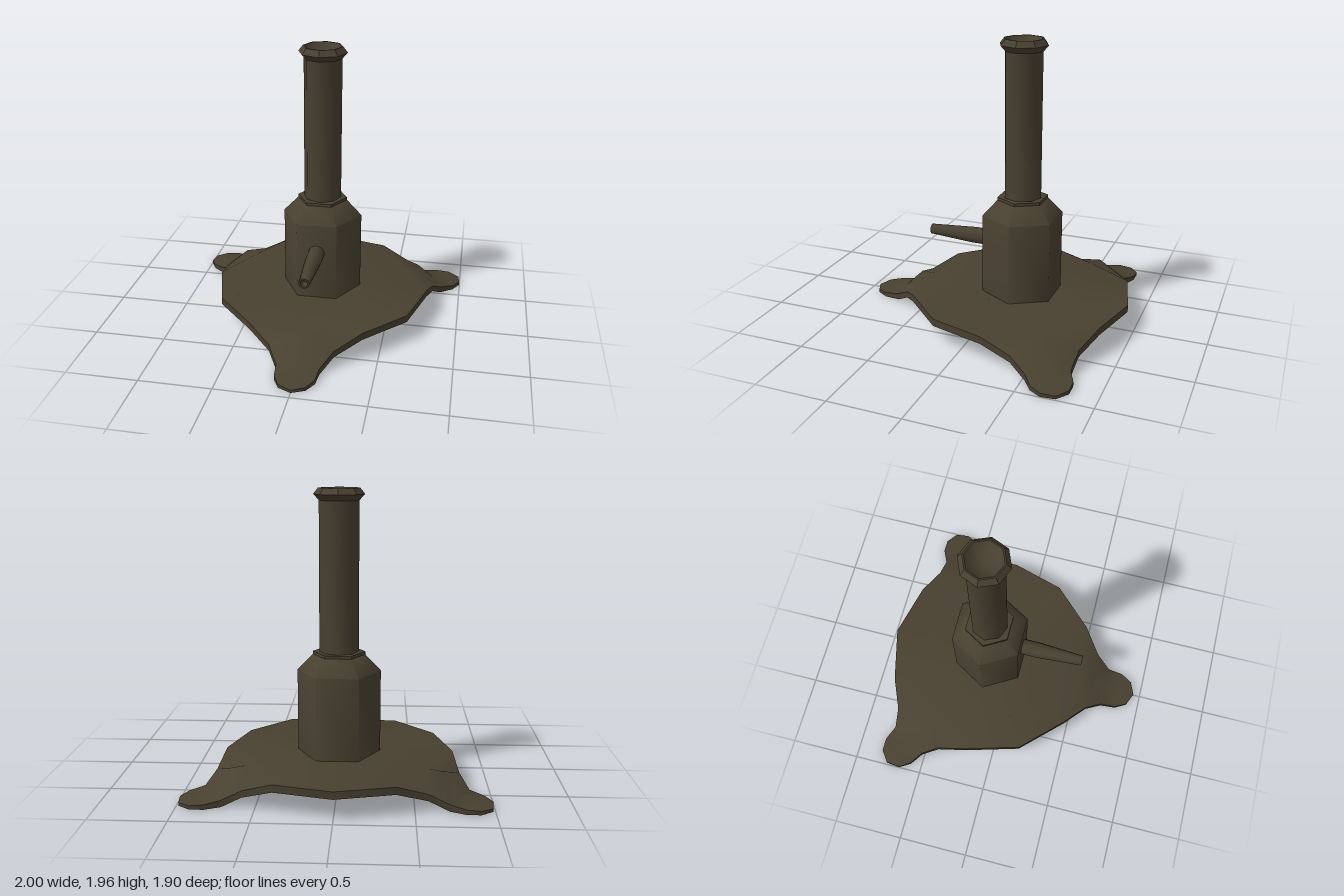
import * as THREE from 'three';
import { toCreasedNormals } from 'three/addons/utils/BufferGeometryUtils.js';

const AXIS_Z = -0.19; // the burner stands behind the centre of the front foot

// One third of the base: rows run from the hub out to the tip of the foot.
// rim x, rim z, rim top, rim bottom, spine z top, spine y top, spine z bottom, spine y bottom
const ROWS = [
  [0.6625, 0.3825, 0.19, 0.14, 0, 0.19, 0, 0.14],
  [0.39, 0.665, 0.19, 0.14, 0.68, 0.19, 0.67, 0.14],
  [0.22, 0.80, 0.115, 0.07, 0.78, 0.19, 0.79, 0.07],
  [0.145, 0.91, 0.045, 0, 0.92, 0.055, 0.89, 0],
  [0.135, 1.02, 0.032, 0, 1.03, 0.04, 1.02, 0],
  [0.09, 1.10, 0.025, 0, 1.10, 0.03, 1.10, 0],
  [0, 1.14, 0.02, 0, 1.14, 0.02, 1.14, 0],
];

function baseGeometry() {
  const pos = [];
  for (let k = 0; k < 3; k++) {
    const c = Math.cos(k * Math.PI * 2 / 3), s = Math.sin(k * Math.PI * 2 / 3);
    const put = ([x, y, z]) => pos.push(x * c + z * s, y, z * c - x * s);
    for (const side of [-1, 1]) {
      const quad = (p, q, r, t) => {
        const order = side < 0 ? [p, q, r, p, r, t] : [p, r, q, p, t, r];
        order.forEach(put);
      };
      const pts = ROWS.map(([x, z, yt, yb, ct, cyt, cb, cyb]) => ({
        top: [side * x, yt, z], bot: [side * x, yb, z],
        midTop: [0, cyt, ct], midBot: [0, cyb, cb],
      }));
      for (let i = 0; i < pts.length - 1; i++) {
        const a = pts[i], b = pts[i + 1];
        quad(a.midTop, a.top, b.top, b.midTop); // upper skin
        quad(a.midBot, b.midBot, b.bot, a.bot); // underside
        quad(a.top, a.bot, b.bot, b.top);       // edge wall
      }
    }
  }
  const g = new THREE.BufferGeometry();
  g.setAttribute('position', new THREE.Float32BufferAttribute(pos, 3));
  return toCreasedNormals(g, 0.9);
}

// Turned part with a low number of sides; vertices lie on the x axis
function turned(profile, sides, crease) {
  const pts = profile.map(([r, y]) => new THREE.Vector2(r, y));
  return toCreasedNormals(new THREE.LatheGeometry(pts, sides, Math.PI / 2), crease);
}

export function createModel() {
  const group = new THREE.Group();
  const metal = new THREE.MeshStandardMaterial({ color: 0x484030 });
  metal.name = 'dark bronze';

  const add = (name, geometry, y = 0, z = AXIS_Z) => {
    const mesh = new THREE.Mesh(geometry, metal);
    mesh.name = name;
    mesh.position.set(0, y, z);
    group.add(mesh);
    return mesh;
  };

  add('threeFootedBase', baseGeometry());

  // Hexagonal body with tapered shoulder
  add('body', turned([[0.28, 0.18], [0.28, 0.75], [0.17, 0.865], [0, 0.865]], 6, 1.1));
  add('collar', turned([[0.16, 0.855], [0.175, 0.86], [0.175, 0.88], [0, 0.885]], 6, 0.6));

  // Chimney tube, flared lip and recessed mouth
  add('tube', turned([[0.132, 0.87], [0.132, 1.9]], 8, 1));
  add('lip', turned([[0.132, 1.88], [0.168, 1.92], [0.137, 1.96], [0.127, 1.96]], 8, 0.6));
  add('mouth', turned([[0.127, 1.96], [0.1, 1.91], [0, 1.88]], 8, 1));

  // Gas inlet pointing forward, with a small bore
  const inlet = add('gasInlet', turned([
    [0.06, 0], [0.06, 0.17], [0.038, 0.5], [0.025, 0.5], [0.02, 0.44], [0, 0.44],
  ], 8, 0.9), 0.54, 0);
  inlet.rotation.x = Math.PI / 2;

  return group;
}
